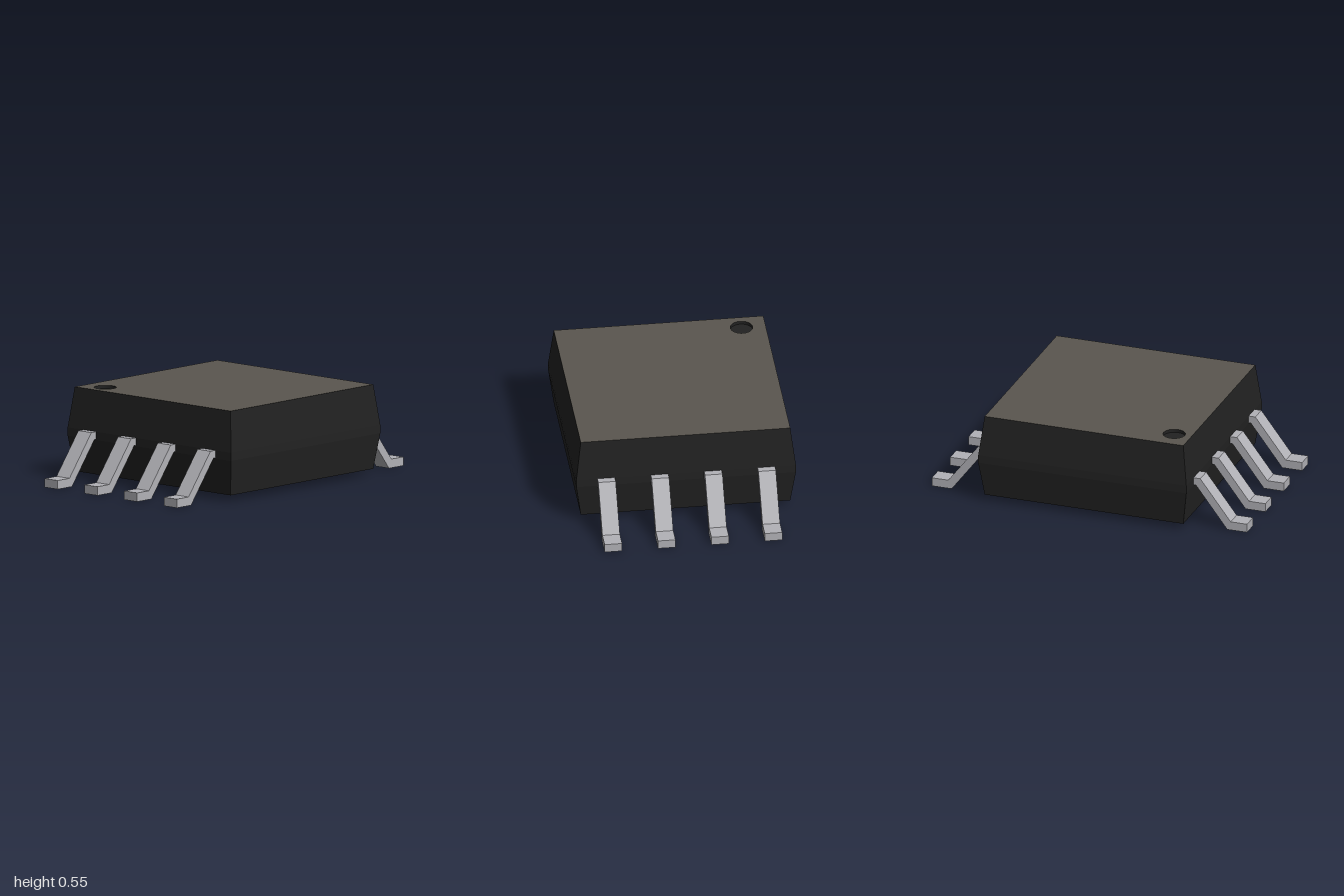
import * as THREE from 'three';

const mat = (name, color, side = THREE.FrontSide) => {
  const m = new THREE.MeshStandardMaterial({ color, side });
  m.name = name;
  return m;
};

// Square rings stacked upward: [half width, y]
function ringBody(rings) {
  const pos = [];
  const corner = ([h, y], i) => [[h, y, h], [h, y, -h], [-h, y, -h], [-h, y, h]][i % 4];
  const quad = (a, b, c, d) => pos.push(...a, ...b, ...c, ...a, ...c, ...d);
  for (let r = 0; r < rings.length - 1; r++)
    for (let i = 0; i < 4; i++)
      quad(corner(rings[r], i), corner(rings[r], i + 1), corner(rings[r + 1], i + 1), corner(rings[r + 1], i));
  // underside
  quad(...[3, 2, 1, 0].map(i => corner(rings[0], i)));
  const g = new THREE.BufferGeometry();
  g.setAttribute('position', new THREE.Float32BufferAttribute(pos, 3));
  g.computeVertexNormals();
  return g;
}

export function createModel() {
  const group = new THREE.Group();
  const black = mat('black plastic', 0x222222, THREE.DoubleSide);
  const grey = mat('grey top', 0x5a564f);
  const metal = mat('lead metal', 0xb2b2b7);
  const add = (name, geometry, material, x = 0, y = 0, z = 0) => {
    const m = new THREE.Mesh(geometry, material);
    m.name = name;
    m.position.set(x, y, z);
    group.add(m);
    return m;
  };

  const top = 0.55, half = 0.63, dotX = -0.52, dotZ = -0.485, dotR = 0.067, depth = 0.02;

  // Case with a bulging waist
  add('case', ringBody([[half, 0.04], [0.66, 0.255], [0.66, 0.305], [half, top]]), black);

  // Top face, pierced by the round orientation dimple
  const face = new THREE.Shape();
  face.moveTo(-half, -half).lineTo(half, -half).lineTo(half, half).lineTo(-half, half).closePath();
  face.holes.push(new THREE.Path().absarc(dotX, -dotZ, dotR, 0, Math.PI * 2, true));
  add('topFace', new THREE.ShapeGeometry(face, 16).rotateX(-Math.PI / 2), grey, 0, top, 0);
  add('dimpleWall', new THREE.CylinderGeometry(dotR, dotR, depth, 32, 1, true), black, dotX, top - depth / 2, dotZ);
  add('dimpleFloor', new THREE.CircleGeometry(dotR, 32).rotateX(-Math.PI / 2), black, dotX, top - depth, dotZ);

  // Bent leads, four along each side
  const width = 0.105;
  const profile = [[0.62, 0.305], [0.703, 0.305], [0.896, 0.053], [1, 0.053],
    [1, 0], [0.874, 0], [0.675, 0.26], [0.62, 0.26]];
  const leadGeometry = new THREE.ExtrudeGeometry(
    new THREE.Shape(profile.map(([x, y]) => new THREE.Vector2(x, y))),
    { depth: width, bevelEnabled: false }).translate(0, 0, -width / 2);
  for (const side of [1, -1])
    for (let i = 0; i < 4; i++) {
      const lead = add(side > 0 ? 'leftLead' : 'rightLead', leadGeometry, metal, 0, 0, (i - 1.5) * 0.321);
      if (side < 0) lead.rotation.y = Math.PI;
    }

  return group;
}
